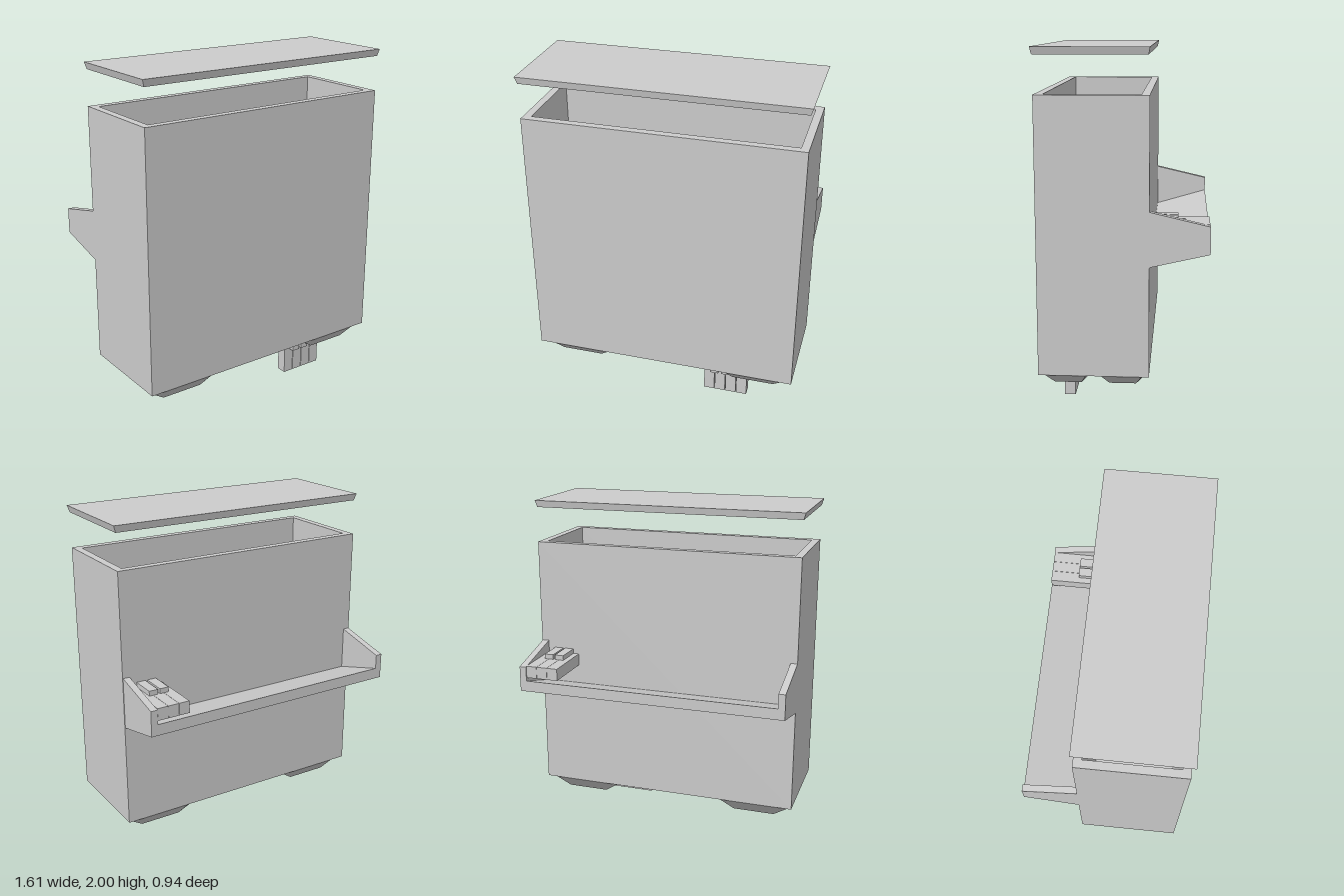
import * as THREE from 'three';
import { ConvexGeometry } from 'three/addons/geometries/ConvexGeometry.js';

const grey = new THREE.MeshStandardMaterial({ color: 0xcccccc, flatShading: true });

function add(parent, name, geometry) {
  const mesh = new THREE.Mesh(geometry, grey);
  mesh.name = name;
  parent.add(mesh);
  return mesh;
}

// Box given by its minimum and maximum on each axis
function block(parent, name, x0, x1, y0, y1, z0, z1) {
  const mesh = add(parent, name, new THREE.BoxGeometry(x1 - x0, y1 - y0, z1 - z0));
  mesh.position.set((x0 + x1) / 2, (y0 + y1) / 2, (z0 + z1) / 2);
  return mesh;
}

// Extrudes a (z, y) outline along x
function sideProfile(points, x0, x1) {
  const shape = new THREE.Shape(points.map(([z, y]) => new THREE.Vector2(-z, y)));
  const geometry = new THREE.ExtrudeGeometry(shape, { depth: x1 - x0, bevelEnabled: false });
  return geometry.rotateY(Math.PI / 2).translate(x0, 0, 0);
}

// Four mirrored corners of a rectangle at height y
const corners = (x, y, z) =>
  [[-1, -1], [1, -1], [1, 1], [-1, 1]].map(([a, b]) => new THREE.Vector3(a * x, y, b * z));

export function createModel() {
  const model = new THREE.Group();
  model.name = 'container';
  const W = 0.795, BACK = -0.145, FRONT = 0.46, BOTTOM = 0.23, TOP = 1.755, WALL = 0.045;

  // Hollow body, open at the top
  const rect = (Ctor, inset) => new Ctor([
    [-W + inset, -FRONT + inset], [W - inset, -FRONT + inset],
    [W - inset, -BACK - inset], [-W + inset, -BACK - inset],
  ].map(([x, y]) => new THREE.Vector2(x, y)));
  const outline = rect(THREE.Shape, 0);
  outline.holes.push(rect(THREE.Path, WALL));
  const walls = new THREE.ExtrudeGeometry(outline, { depth: TOP - BOTTOM, bevelEnabled: false });
  add(model, 'bodyWalls', walls.rotateX(-Math.PI / 2)).position.y = BOTTOM;
  block(model, 'bodyFloor', -W + WALL, W - WALL, BOTTOM, BOTTOM + WALL, BACK + WALL, FRONT - WALL);

  // Floating lid, slightly wider at its top face
  add(model, 'lid', new ConvexGeometry([...corners(0.805, 2, 0.308), ...corners(0.793, 1.96, 0.3)]))
    .position.z = 0.162;

  // Feet: rectangular sole, flaring to a rectangle with clipped corners
  const footGeometry = new ConvexGeometry([
    ...corners(0.245, 0, 0.11), ...corners(0.15, 0, 0.15), ...corners(0.125, -0.085, 0.075),
  ]);
  for (const x of [-0.55, 0.55])
    for (const z of [0.005, 0.31])
      add(model, 'foot', footGeometry).position.set(x, BOTTOM, z);

  // Rear tray: sloping floor between two tapered cheeks
  const tray = new THREE.Group();
  tray.name = 'rearTray';
  model.add(tray);
  const EDGE = -0.468;
  const cheek = [[BACK, 0.845], [EDGE, 0.92], [EDGE, 1.07], [BACK, 1.145]];
  add(tray, 'trayCheek', sideProfile(cheek, -W, -0.755));
  add(tray, 'trayCheek', sideProfile(cheek, 0.752, 0.792));
  const floor = [[BACK, 0.845], [EDGE, 0.92], [EDGE, 0.985], [BACK, 0.89]];
  add(tray, 'trayFloor', sideProfile(floor, -0.755, 0.752));

  // Bars lying in the tray, with two short bars on top
  for (let i = 0; i < 3; i++) {
    const x = 0.555 + i * 0.0655;
    block(tray, 'trayBar', x, x + 0.064, 1.005, 1.076, -0.465, BACK);
  }
  for (const x of [0.59, 0.656])
    block(tray, 'trayUpperBar', x, x + 0.054, 1.076, 1.105, -0.295, BACK);

  // Row of bars hanging under the body, with short bars across their joints
  const hanging = new THREE.Group();
  hanging.name = 'hangingBars';
  model.add(hanging);
  for (let i = 0; i < 4; i++) {
    const x = 0.24 + i * 0.068;
    block(hanging, 'hangingBar', x, x + 0.064, 0, BOTTOM, 0.29, 0.352);
    if (i < 2) block(hanging, 'hangingShortBar', x + 0.043, x + 0.093, 0.148, BOTTOM, 0.352, 0.38);
  }
  return model;
}
